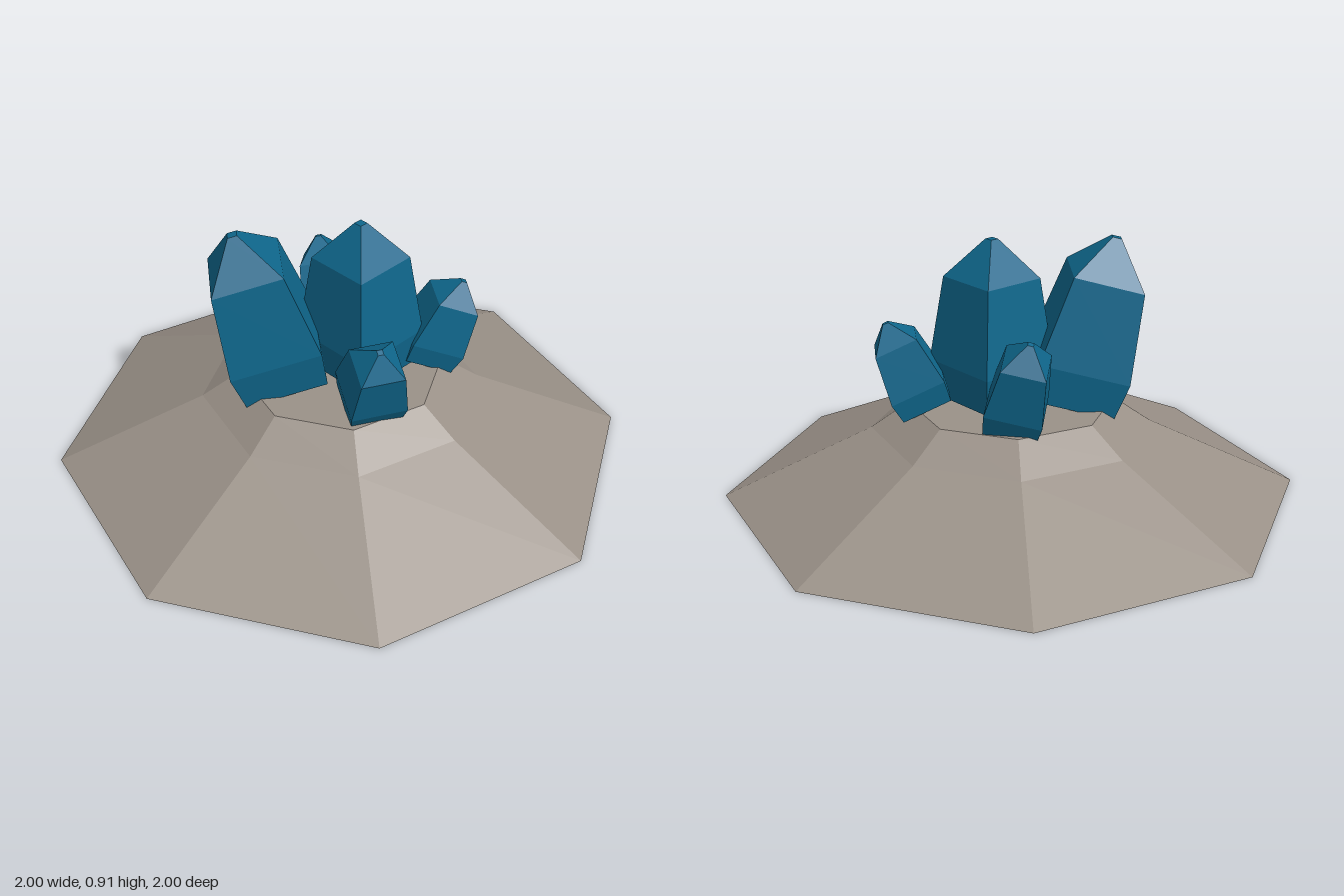
import * as THREE from 'three';

const UP = new THREE.Vector3(0, 1, 0);

// Faceted solid turned from a [radius, height] profile
function faceted(name, profile, sides, material) {
  const points = profile.map(([r, y]) => new THREE.Vector2(r, y));
  const mesh = new THREE.Mesh(new THREE.LatheGeometry(points, sides), material);
  mesh.name = name;
  return mesh;
}

// Four-sided crystal: widest at its waist, tapering to a shoulder and a blunt tip
function crystal({ name, waist, tip, radius, twist }, material) {
  const start = new THREE.Vector3(...waist);
  const axis = new THREE.Vector3(...tip).sub(start);
  const length = axis.length();
  const profile = [
    [0, -0.3], [0.9, -0.3], [1, 0], [0.77, 0.69], [0.1, 1], [0, 1],
  ].map(([r, y]) => [r * radius, y * length]);
  const mesh = faceted(name, profile, 4, material);
  mesh.position.copy(start);
  mesh.quaternion
    .setFromUnitVectors(UP, axis.normalize())
    .multiply(new THREE.Quaternion().setFromAxisAngle(UP, THREE.MathUtils.degToRad(twist)));
  return mesh;
}

export function createModel() {
  const model = new THREE.Group();
  model.name = 'crystalCluster';

  const rock = new THREE.MeshStandardMaterial({ color: 0x9a9188, flatShading: true });
  rock.name = 'rock';
  const blue = new THREE.MeshStandardMaterial({ color: 0x0f678c, flatShading: true });
  blue.name = 'crystalBlue';

  // Octagonal rock mound with a flat top
  const mound = [[0, 0], [1, 0], [0.485, 0.245], [0.355, 0.335], [0, 0.335]];
  model.add(faceted('rockMound', mound, 8, rock));

  // Crystals leaning outwards around an upright one
  const crystals = [
    { name: 'centreCrystal', waist: [0.068, 0.48, 0], tip: [0.065, 0.91, 0], radius: 0.212, twist: -7 },
    { name: 'rightCrystal', waist: [-0.237, 0.47, 0.012], tip: [-0.355, 0.905, 0.012], radius: 0.225, twist: 45 },
    { name: 'leftCrystal', waist: [0.325, 0.41, -0.032], tip: [0.425, 0.633, -0.032], radius: 0.138, twist: 48 },
    { name: 'frontCrystal', waist: [0.072, 0.41, 0.25], tip: [0.085, 0.635, 0.34], radius: 0.138, twist: 55 },
    { name: 'backCrystal', waist: [0, 0.415, -0.26], tip: [-0.04, 0.655, -0.34], radius: 0.138, twist: 35 },
  ];
  for (const spec of crystals) model.add(crystal(spec, blue));

  return model;
}
